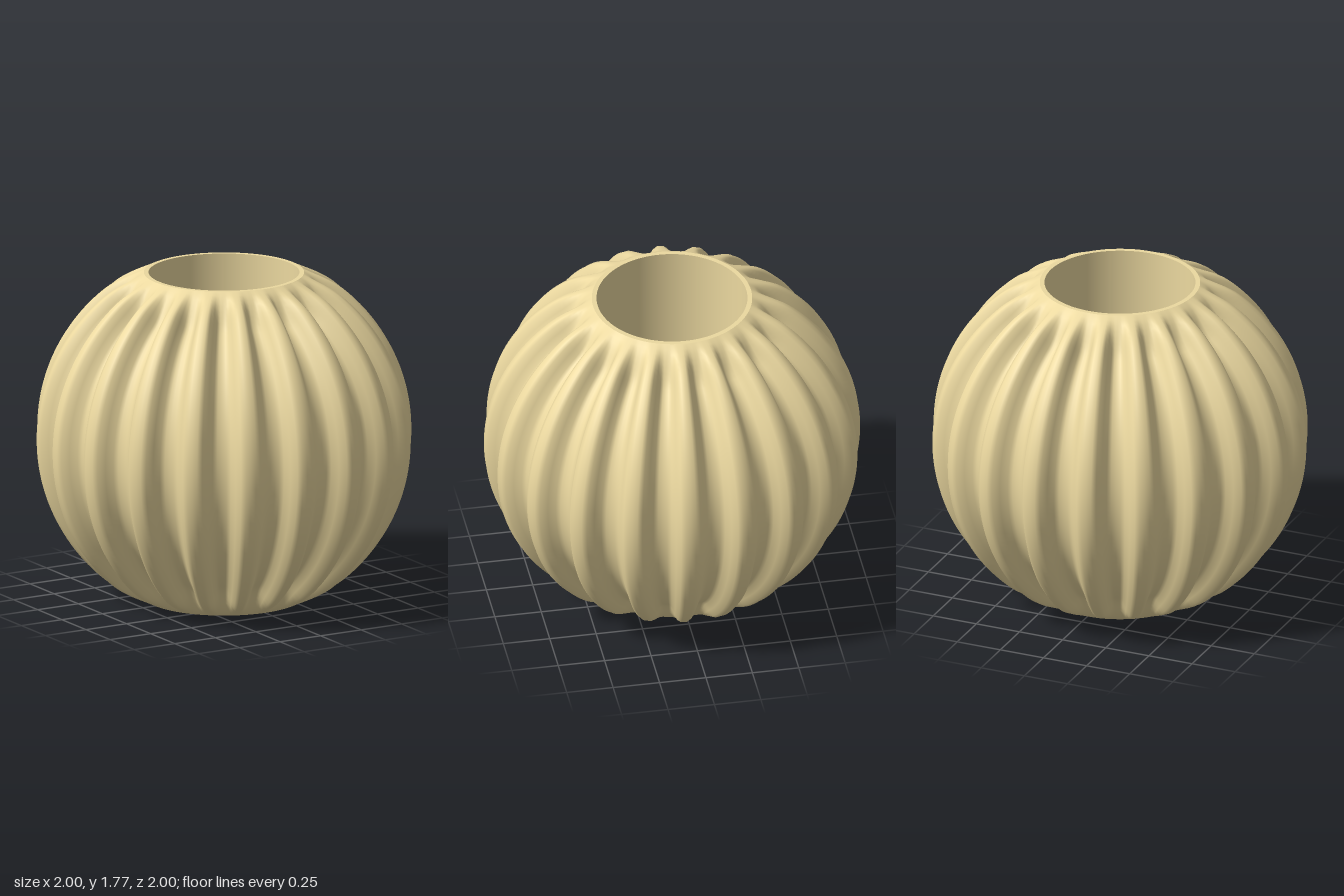
import * as THREE from 'three';
import { mergeVertices, toCreasedNormals } from 'three/addons/utils/BufferGeometryUtils.js';

const HALF = 0.885;          // half of the height
const RIM = 0.425;           // outer radius of the flat rims
const BORE = 0.4;            // radius of the through hole
const RIBS = 20;
const RIM_R = Math.hypot(RIM, HALF);
const RIM_LAT = Math.atan2(HALF, RIM);

// Distance from the centre: flat-topped waves that fade out at both rims
function shellRadius(lat, theta) {
  const fade = THREE.MathUtils.smoothstep(RIM_LAT - Math.abs(lat), 0, 0.25);
  const t = RIBS * theta;
  const wave = -(Math.sin(t) + 0.15 * Math.sin(3 * t));
  return RIM_R + fade * (0.953 - RIM_R + 0.054 * wave);
}

function ribbedShell() {
  const rows = 72;
  const profile = [];
  for (let i = 0; i <= rows; i++) {
    const lat = RIM_LAT * (2 * i / rows - 1);
    profile.push(new THREE.Vector2(Math.cos(lat), Math.sin(lat)));
  }
  let geo = new THREE.LatheGeometry(profile, RIBS * 12);
  const pos = geo.attributes.position;
  const v = new THREE.Vector3();
  for (let i = 0; i < pos.count; i++) {
    v.fromBufferAttribute(pos, i);
    const lat = Math.atan2(v.y, Math.hypot(v.x, v.z));
    v.setLength(shellRadius(lat, Math.atan2(v.x, v.z)));
    pos.setXYZ(i, v.x, v.y + HALF, v.z);
  }
  // weld the seam so the shading is continuous
  geo.deleteAttribute('uv');
  geo.deleteAttribute('normal');
  geo = mergeVertices(geo, 1e-4);
  geo.computeVertexNormals();
  return geo;
}

// Flat rims and the straight inner wall, with sharp edges
function boreWall() {
  const top = 2 * HALF;
  const points = [[RIM, top], [BORE, top], [BORE, 0], [RIM, 0]]
    .map(([x, y]) => new THREE.Vector2(x, y));
  return toCreasedNormals(new THREE.LatheGeometry(points, RIBS * 12), 0.6);
}

export function createModel() {
  const group = new THREE.Group();
  group.name = 'ribbedLampshade';
  const material = new THREE.MeshStandardMaterial({ color: 0xecd9a0, side: THREE.DoubleSide });
  const add = (name, geometry) => {
    const mesh = new THREE.Mesh(geometry, material);
    mesh.name = name;
    group.add(mesh);
  };
  add('ribbedShell', ribbedShell());
  add('boreAndRims', boreWall());
  return group;
}
